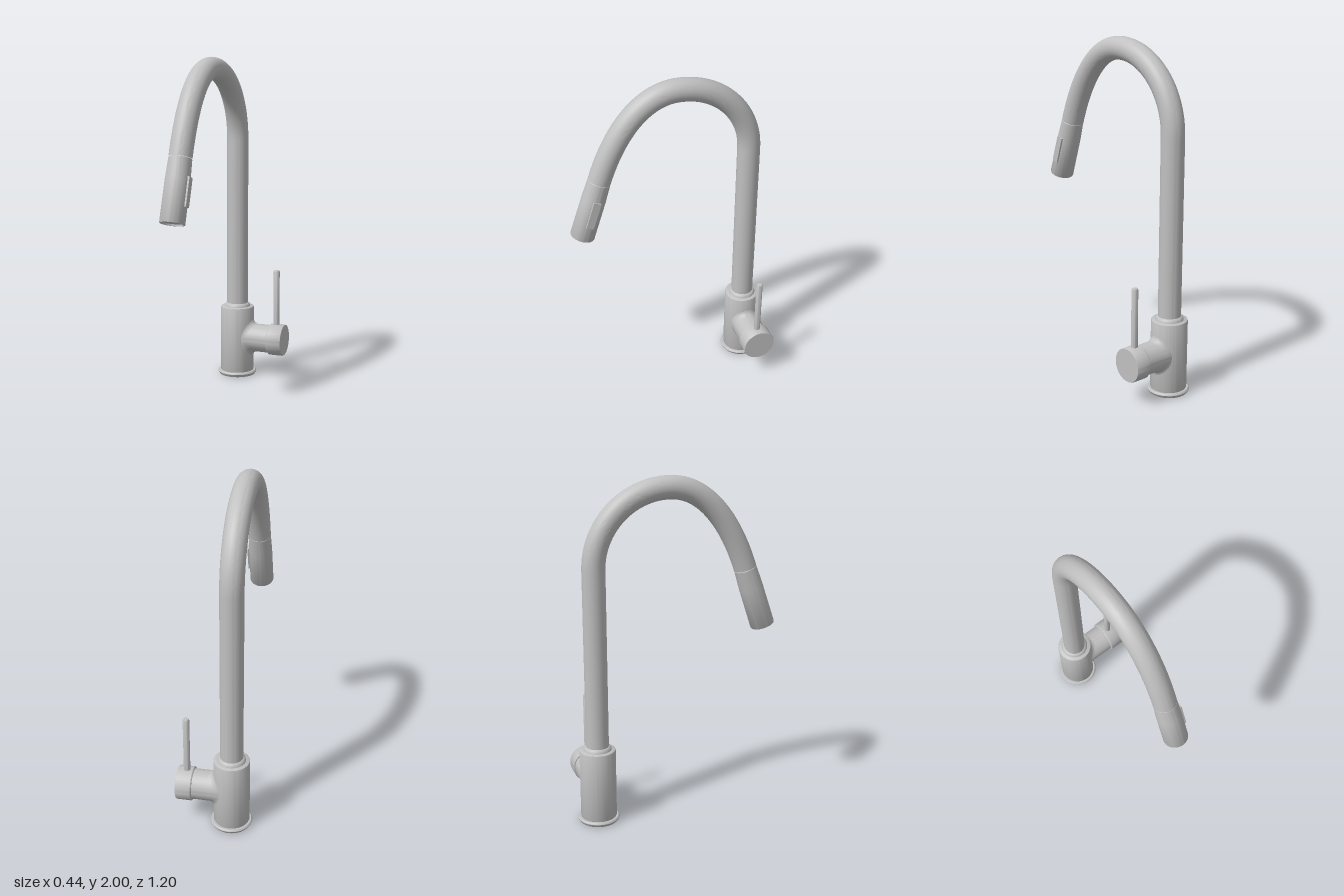
import * as THREE from 'three';
import { toCreasedNormals } from 'three/addons/utils/BufferGeometryUtils.js';

const metal = new THREE.MeshStandardMaterial({ color: 0xc0c0c0 });
metal.name = 'brushed metal';

const CX = -0.1, CZ = -0.475;   // post axis
const HANDLE_Y = 0.243;

function part(name, geometry, crease = 0.6) {
  const mesh = new THREE.Mesh(toCreasedNormals(geometry, crease), metal);
  mesh.name = name;
  return mesh;
}

// Solid of revolution from [radius, height] pairs, listed bottom to top
function turned(name, profile, segments = 64) {
  const points = profile.map(([r, y]) => new THREE.Vector2(r, y));
  return part(name, new THREE.LatheGeometry(points, segments));
}

// Round stub that blends into the cylindrical body with a fillet
function stubGeometry(bodyR, r, fillet, endX) {
  const rows = 9;
  const g = new THREE.CylinderGeometry(1, 1, 1, 64, rows, true);
  g.rotateZ(-Math.PI / 2);
  const p = g.attributes.position;
  for (let i = 0; i < p.count; i++) {
    const row = Math.round((p.getX(i) + 0.5) * rows);
    const cy = p.getY(i), cz = p.getZ(i);
    const t = Math.min(row / (rows - 1), 1) * Math.PI / 2;
    const f = fillet * cy * cy;
    const rho = r + f * (1 - Math.sin(t));
    const z = rho * cz;
    const x = Math.sqrt(Math.max(0, bodyR * bodyR - z * z)) + fillet * (1 - Math.cos(t)) - 0.001;
    p.setXYZ(i, row === rows ? endX : x, rho * cy, z);
  }
  return g;
}

export function createModel() {
  const model = new THREE.Group();
  model.name = 'faucet';

  // Base flange, body and collar on the post axis
  const base = new THREE.Group();
  base.name = 'base';
  base.position.set(CX, 0, CZ);
  base.add(
    turned('flange', [[0, 0], [0.112, 0], [0.115, 0.007], [0.12, 0.011], [0.122, 0.017],
      [0.12, 0.023], [0.115, 0.027], [0, 0.027]]),
    turned('body', [[0, 0.025], [0.102, 0.025], [0.105, 0.032], [0.105, 0.434], [0.103, 0.44],
      [0.098, 0.443], [0, 0.443]]),
    turned('collar', [[0.082, 0.44], [0.08, 0.45], [0.075, 0.458], [0.069, 0.463], [0.064, 0.465]]),
  );
  model.add(base);

  // Gooseneck: straight post, quarter arc, then a longer curve down to the spray head
  const joint = new THREE.Vector3(CX, 1.452, 0.416);
  const down = new THREE.Vector3(0, -0.948, 0.318).normalize();
  const v = (y, z) => new THREE.Vector3(CX, y, z);
  const k = 0.435 * 0.5523;
  const path = new THREE.CurvePath();
  path.add(new THREE.LineCurve3(v(0.43, CZ), v(1.499, CZ)));
  path.add(new THREE.CubicBezierCurve3(v(1.499, CZ), v(1.499 + k, CZ), v(1.934, -0.04 - k), v(1.934, -0.04)));
  path.add(new THREE.CubicBezierCurve3(v(1.934, -0.04), v(1.934, 0.185),
    joint.clone().addScaledVector(down, -0.26), joint));
  model.add(part('gooseneck', new THREE.TubeGeometry(path, 120, 0.066, 40, false)));

  // Pull-out spray head; local +y runs towards the outlet
  const head = new THREE.Group();
  head.name = 'sprayHead';
  head.position.copy(joint);
  head.quaternion.setFromUnitVectors(new THREE.Vector3(0, 1, 0), down);
  head.add(turned('headShell', [[0, 0], [0.062, 0], [0.0655, 0.004], [0.07, 0.12], [0.071, 0.362],
    [0.069, 0.366], [0.063, 0.366], [0.061, 0.356], [0, 0.356]]));
  const button = part('sprayButton', new THREE.BoxGeometry(0.03, 0.165, 0.044));
  button.position.set(0.062, 0.187, 0);
  head.add(button);
  model.add(head);

  // Side handle: stub, cap and lever
  const handle = new THREE.Group();
  handle.name = 'handle';
  handle.position.set(CX, HANDLE_Y, CZ);
  handle.add(part('handleStub', stubGeometry(0.105, 0.088, 0.036, 0.228), 1));
  const cap = turned('handleCap', [[0, 0.222], [0.094, 0.222], [0.099, 0.227], [0.099, 0.31],
    [0.096, 0.316], [0, 0.316]]);
  cap.rotation.z = -Math.PI / 2;
  const lever = turned('lever', [[0, 0.08], [0.019, 0.08], [0.019, 0.438], [0.016, 0.444],
    [0.01, 0.446], [0, 0.446]], 32);
  lever.position.x = 0.262;
  handle.add(cap, lever);
  model.add(handle);

  return model;
}
